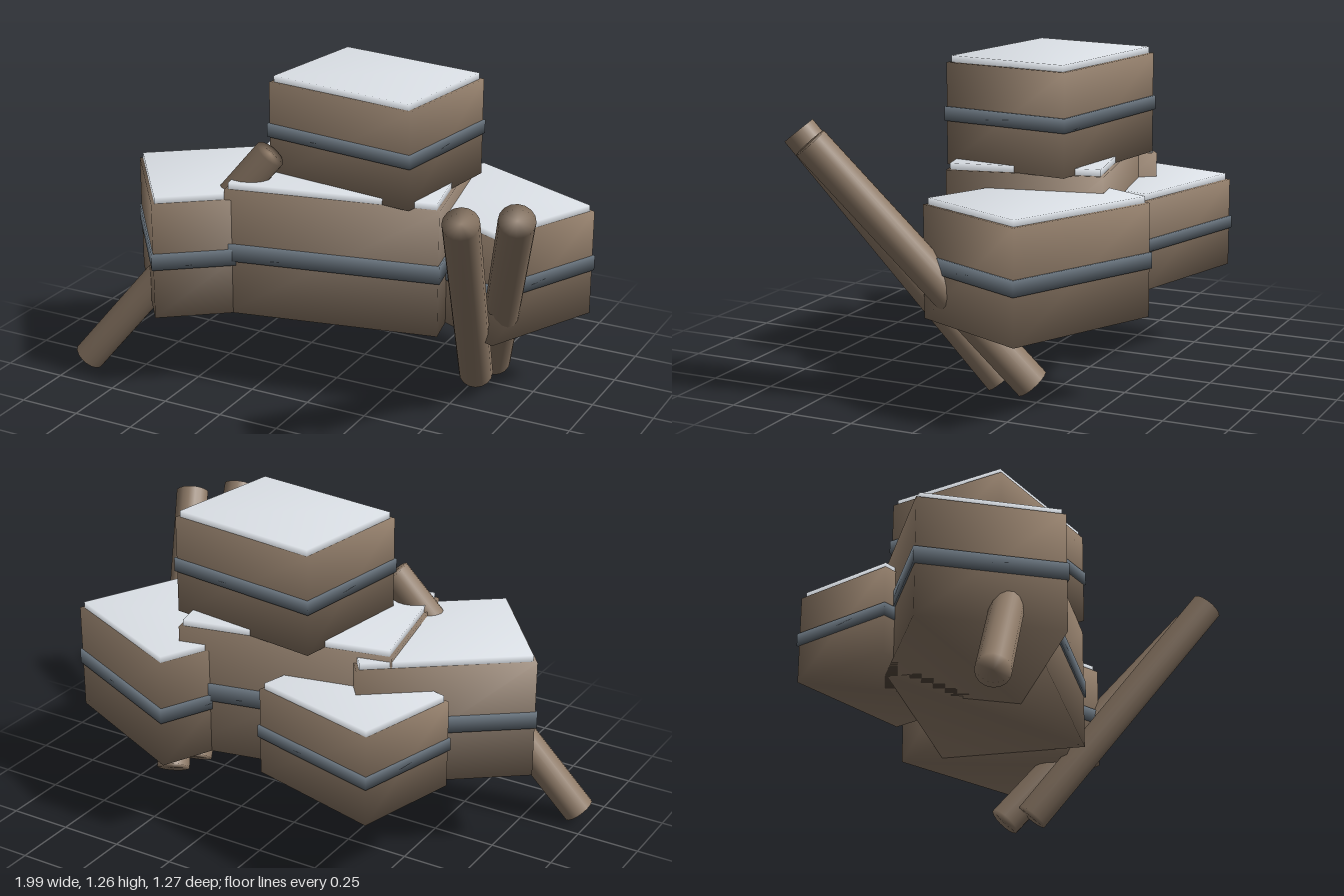
import * as THREE from 'three';
import { mergeVertices } from 'three/addons/utils/BufferGeometryUtils.js';

const wood = new THREE.MeshStandardMaterial({ color: 0x8f7b68 });
const strapMetal = new THREE.MeshStandardMaterial({ color: 0x68737d });
const pale = new THREE.MeshStandardMaterial({ color: 0xdfe4ea });

// Share corners between faces so the shading runs softly over the edges
function soften(geometry) {
  geometry.deleteAttribute('normal');
  geometry.deleteAttribute('uv');
  const merged = mergeVertices(geometry);
  merged.computeVertexNormals();
  return merged;
}

function block(name, w, h, d, y, material) {
  const mesh = new THREE.Mesh(soften(new THREE.BoxGeometry(w, h, d)), material);
  mesh.name = name;
  mesh.position.y = y;
  return mesh;
}

// Crate body with a strap around the middle and a thin pale lid
function crate({ name, x, z, w, d, bottom, top, turn }) {
  const group = new THREE.Group();
  const h = top - bottom, mid = (top + bottom) / 2;
  group.name = name;
  group.add(
    block('body', w, h, d, mid, wood),
    block('strap', w + 0.014, h * 0.14, d + 0.014, mid, strapMetal),
    block('lid', w - 0.026, 0.05, d - 0.026, top, pale)
  );
  group.position.set(x, 0, z);
  group.rotation.y = turn;
  return group;
}

// Round log between two end centres
function log(name, from, to, radius) {
  const a = new THREE.Vector3(...from), b = new THREE.Vector3(...to);
  const axis = b.clone().sub(a);
  const mesh = new THREE.Mesh(soften(new THREE.CylinderGeometry(radius, radius, axis.length(), 16)), wood);
  mesh.name = name;
  mesh.position.copy(a).add(b).multiplyScalar(0.5);
  mesh.quaternion.setFromUnitVectors(new THREE.Vector3(0, 1, 0), axis.normalize());
  return mesh;
}

export function createModel() {
  const model = new THREE.Group();
  model.name = 'crateStack';

  // Four crates on one level and one stacked on top
  const crates = [
    { name: 'middleCrate', x: 0.02, z: -0.085, w: 0.847, d: 0.594, bottom: 0.34, top: 0.85, turn: 0.2 },
    { name: 'topCrate', x: 0.105, z: -0.13, w: 0.646, d: 0.515, bottom: 0.85, top: 1.235, turn: -0.14 },
    { name: 'rightCrate', x: -0.453, z: 0.045, w: 0.674, d: 0.556, bottom: 0.34, top: 0.81, turn: 0.654 },
    { name: 'leftCrate', x: 0.53, z: -0.265, w: 0.64, d: 0.51, bottom: 0.34, top: 0.765, turn: -0.436 },
    { name: 'backCrate', x: -0.325, z: -0.345, w: 0.56, d: 0.43, bottom: 0.34, top: 0.69, turn: -0.26 },
  ];
  crates.forEach((c) => model.add(crate(c)));

  // Leaning logs
  model.add(
    log('rightLog', [-0.95, 0.045, 0.36], [-0.207, 0.975, 0.155], 0.064),
    log('leftFrontLog', [0.55, 0.095, -0.135], [0.78, 1.01, 0.575], 0.067),
    log('leftRearLog', [0.57, 0.1, -0.265], [0.93, 1.0, 0.435], 0.067)
  );
  return model;
}
